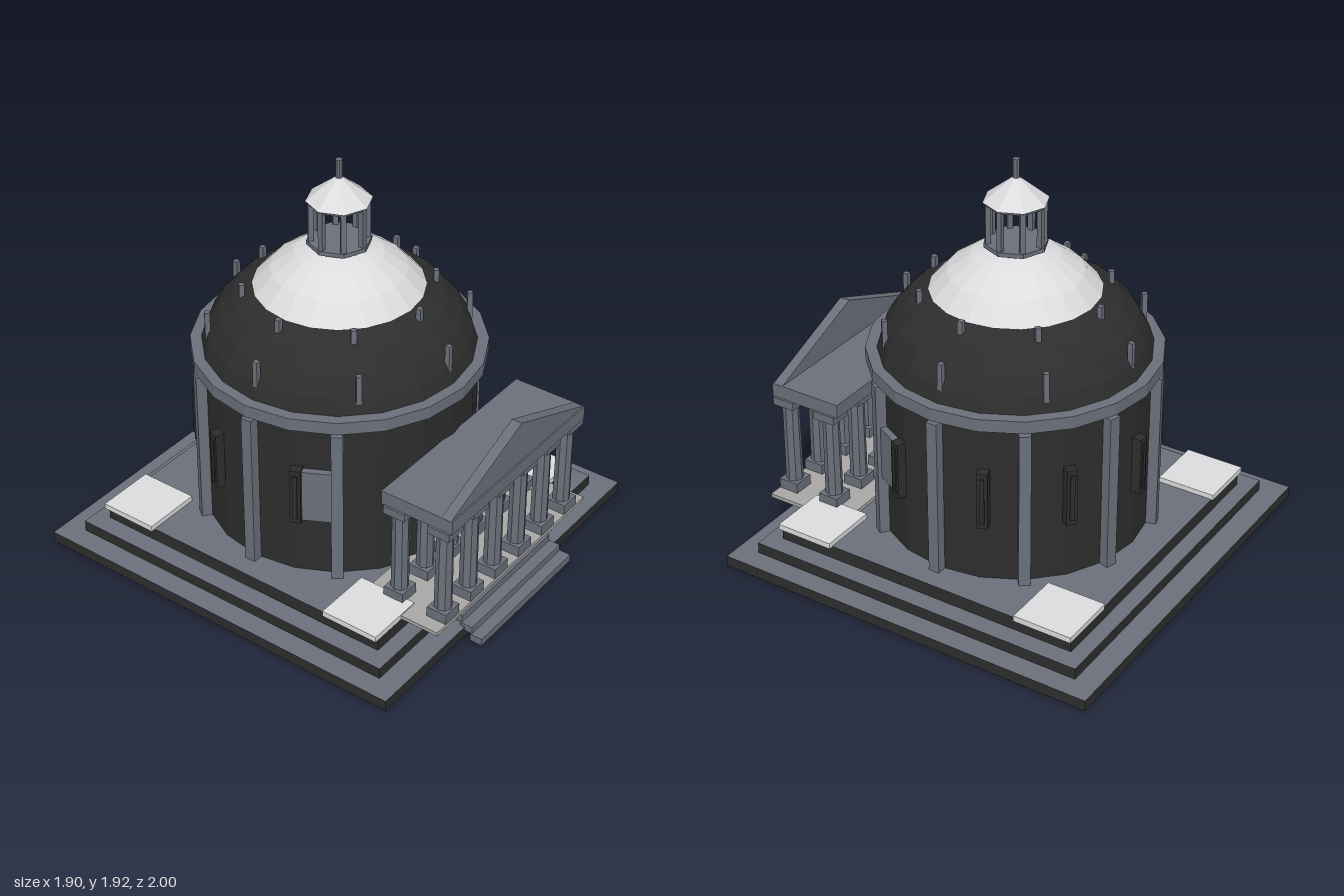
import * as THREE from 'three';

const CZ = -0.05; // centre of the rotunda

export function createModel() {
  const root = new THREE.Group();
  root.name = 'domedRotunda';
  const mat = (name, color, side = THREE.FrontSide) => {
    const m = new THREE.MeshStandardMaterial({ color, side });
    m.name = name;
    return m;
  };
  const slate = mat('slate', 0x6a707a);
  const dark = mat('charcoal', 0x2d2d2d, THREE.DoubleSide);
  const white = mat('paleStone', 0xdcdcde);
  const paving = mat('greyPaving', 0xa9a7a5);

  // flat-faced mesh from any geometry
  const add = (name, geo, material, x = 0, y = 0, z = 0, parent = root) => {
    const g = geo.index ? geo.toNonIndexed() : geo;
    g.computeVertexNormals();
    const m = new THREE.Mesh(g, material);
    m.name = name;
    m.position.set(x, y, z);
    parent.add(m);
    return m;
  };
  // box given by its ranges
  const block = (name, material, x0, x1, y0, y1, z0, z1) =>
    add(name, new THREE.BoxGeometry(x1 - x0, y1 - y0, z1 - z0), material,
      (x0 + x1) / 2, (y0 + y1) / 2, (z0 + z1) / 2);
  // box standing at an angle (degrees from +x towards +z) around the rotunda
  const around = (name, material, deg, r, y0, y1, width, depth) => {
    const a = THREE.MathUtils.degToRad(deg);
    const m = add(name, new THREE.BoxGeometry(depth, y1 - y0, width), material,
      r * Math.cos(a), (y0 + y1) / 2, CZ + r * Math.sin(a));
    m.rotation.y = -a;
    return m;
  };
  const cyl = (name, material, r0, r1, y0, y1, sides, x = 0, z = CZ) =>
    add(name, new THREE.CylinderGeometry(r1, r0, y1 - y0, sides), material, x, (y0 + y1) / 2, z);
  const lathe = (name, material, pts, sides) =>
    add(name, new THREE.LatheGeometry(pts.map(p => new THREE.Vector2(...p)), sides), material, 0, 0, CZ);

  // stepped base: dark sides, slate tops
  [[0.95, 0, 0.053, -1, 0.905], [0.85, 0.053, 0.107, -0.89, 0.8], [0.76, 0.107, 0.171, -0.815, 0.725]]
    .forEach(([w, y0, y1, z0, z1]) => {
      const m = block('baseTier', dark, -w, w, y0, y1, z0, z1);
      m.geometry.clearGroups();
      m.geometry.addGroup(0, 12, 0);
      m.geometry.addGroup(12, 6, 1);
      m.geometry.addGroup(18, 18, 0);
      m.material = [dark, slate];
    });

  // corner slabs
  for (const s of [-1, 1]) for (const z of [-0.68, 0.585]) {
    block('cornerSlab', white, s * 0.6375 - 0.1425, s * 0.6375 + 0.1425, 0.168, 0.196, z - 0.143, z + 0.143);
  }

  // front steps
  for (let i = 0; i < 5; i++) {
    const w = 0.365 - i * 0.005, z = 1 - i * 0.056;
    block('frontStep', slate, -w, w, i * 0.035, (i + 1) * 0.035, z - 0.062, z);
  }

  // drum with an open doorway two facets wide
  const facet = Math.PI / 10;
  add('drumLower', new THREE.CylinderGeometry(0.626, 0.626, 0.45, 18, 1, true, facet, 18 * facet),
    dark, 0, 0.395, CZ);
  add('drumUpper', new THREE.CylinderGeometry(0.626, 0.626, 0.34, 20, 1, true), dark, 0, 0.79, CZ);
  cyl('cornice', slate, 0.67, 0.67, 0.955, 1.015, 20);

  // pilasters, leaving the doorway free
  for (let i = 0; i < 10; i++) {
    if (i === 2 || i === 3) continue;
    around('pilaster', slate, i * 36, 0.64, 0.171, 0.94, 0.053, 0.06);
  }

  // narrow windows with inner strips
  for (const a of [20, 160, -20, -160, -54, -126, -90]) {
    around('windowFrame', dark, a, 0.642, 0.46, 0.74, 0.05, 0.05);
    around('windowStrip', dark, a, 0.668, 0.485, 0.715, 0.022, 0.01);
  }
  for (const a of [28, 152]) around('wallPanel', slate, a, 0.632, 0.47, 0.73, 0.13, 0.035);

  // two-part dome
  lathe('lowerDome', dark, [[0.62, 1.01], [0.595, 1.09], [0.545, 1.175], [0.475, 1.25], [0.385, 1.3]], 20);
  lathe('upperDome', white, [[0.385, 1.3], [0.305, 1.39], [0.2, 1.465], [0.1, 1.502], [0, 1.513]], 20);

  // two rings of posts on the dome
  for (let i = 0; i < 8; i++) {
    around('outerDomePost', slate, i * 45, 0.588, 1.06, 1.198, 0.024, 0.024);
    around('innerDomePost', slate, i * 45, 0.432, 1.25, 1.33, 0.024, 0.024);
  }

  // lantern
  cyl('lanternBase', slate, 0.145, 0.145, 1.508, 1.528, 8);
  for (let i = 0; i < 8; i++) around('lanternPost', slate, i * 45, 0.125, 1.525, 1.72, 0.024, 0.024);
  cyl('lanternEave', slate, 0.14, 0.14, 1.71, 1.724, 8);
  cyl('lanternRoof', white, 0.148, 0, 1.722, 1.842, 8);
  cyl('finial', slate, 0.016, 0.016, 1.825, 1.916, 8);

  // portico
  block('porticoFloor', paving, -0.595, 0.595, 0.172, 0.19, 0.5, 0.918);
  for (const z of [0.637, 0.866]) {
    for (let i = 0; i < 6; i++) {
      const x = (i - 2.5) * 0.191;
      block('columnBase', slate, x - 0.051, x + 0.051, 0.185, 0.24, z - 0.05, z + 0.05);
      cyl('columnShaft', slate, 0.041, 0.039, 0.235, 0.65, 8, x, z);
      block('columnCapital', slate, x - 0.056, x + 0.056, 0.645, 0.684, z - 0.056, z + 0.056);
    }
  }
  block('entablature', slate, -0.523, 0.523, 0.682, 0.75, 0.565, 0.93);

  // thin triangular gable
  const tri = new THREE.Shape();
  tri.moveTo(-0.523, 0.75);
  tri.lineTo(0.523, 0.75);
  tri.lineTo(0, 0.955);
  tri.closePath();
  add('pediment', new THREE.ExtrudeGeometry(tri, { depth: 0.05, bevelEnabled: false }), slate, 0, 0, 0.873);

  return root;
}
